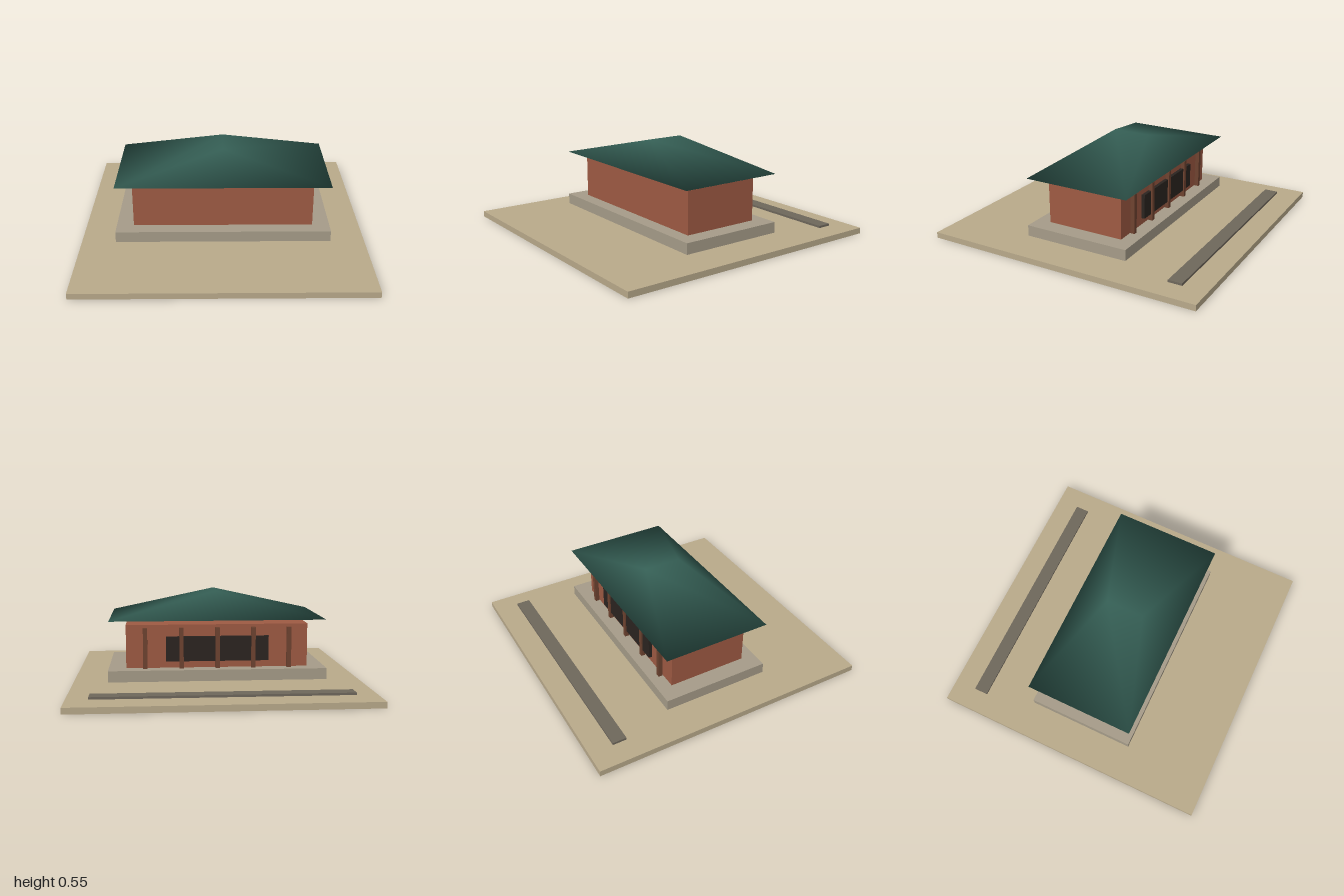
import * as THREE from 'three';

const mat = (color) => new THREE.MeshStandardMaterial({ color });

// Box named by part, resting on y0 and rising to y1
function slab(name, w, d, y0, y1, material, x = 0, z = 0) {
  const mesh = new THREE.Mesh(new THREE.BoxGeometry(w, y1 - y0, d), material);
  mesh.position.set(x, (y0 + y1) / 2, z);
  mesh.name = name;
  return mesh;
}

// Closed hip roof with a short cross ridge; shared corners keep the normals soft
function hipRoof(w, d, ridge, y0, y1, material) {
  const x = w / 2, z = d / 2, r = ridge / 2;
  const geometry = new THREE.BufferGeometry();
  geometry.setAttribute('position', new THREE.Float32BufferAttribute([
    -x, y0, -z, x, y0, -z, x, y0, z, -x, y0, z, // eaves
    0, y1, -r, 0, y1, r, // ridge
  ], 3));
  geometry.setIndex([
    0, 3, 4, 3, 5, 4, // one long slope
    2, 1, 5, 1, 4, 5, // opposite slope
    1, 0, 4, 3, 2, 5, // back and front slopes
    0, 1, 2, 0, 2, 3, // underside
  ]);
  geometry.computeVertexNormals();
  const mesh = new THREE.Mesh(geometry, material);
  mesh.name = 'roof';
  return mesh;
}

export function createModel() {
  const model = new THREE.Group();
  model.name = 'pavilion';
  const wood = mat(0x6e4330);

  // The whole plot is turned on the site
  const plot = new THREE.Group();
  plot.name = 'plot';
  plot.rotation.y = -0.22;
  model.add(plot);

  plot.add(
    slab('ground', 1.675, 1.675, 0, 0.035, mat(0xb8a98a)),
    slab('path', 1.424, 0.082, 0.042, 0.055, mat(0x6e675b), 0, -0.66),
    slab('plinth', 1.265, 0.645, 0.05, 0.115, mat(0xa59b88)),
    slab('walls', 1.062, 0.475, 0.115, 0.368, mat(0x9e5a43)),
    slab('windowPanel', 0.6, 0.02, 0.155, 0.3, mat(0x2b2420), 0, -0.248),
    hipRoof(1.25, 0.645, 0.226, 0.4, 0.553, mat(0x355f55)),
  );

  // Row of posts along the back wall
  for (let i = -2; i <= 2; i++) {
    plot.add(slab('post', 0.025, 0.025, 0.115, 0.352, wood, i * 0.21, -0.254));
  }
  return model;
}
